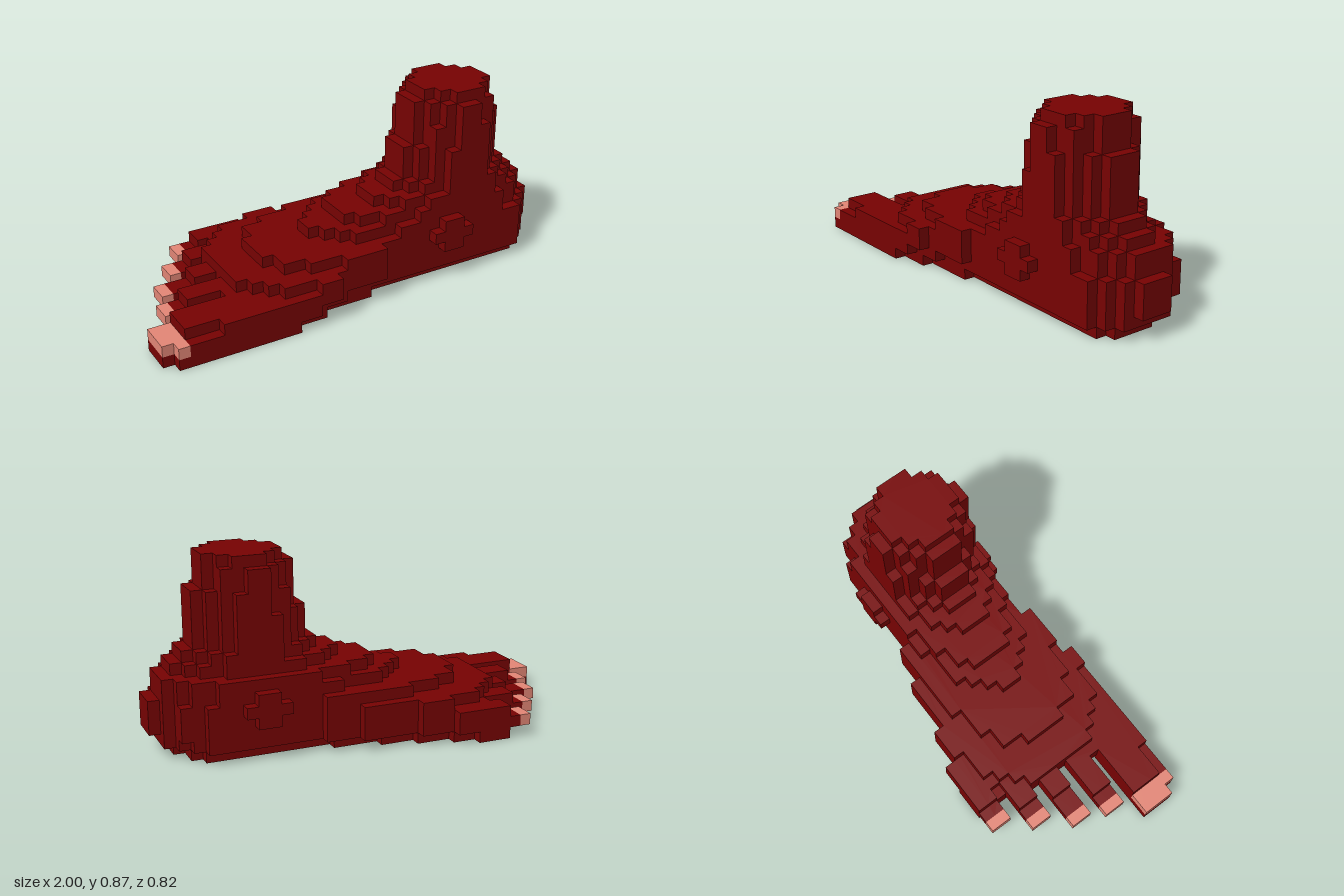
import * as THREE from 'three';

// Blocky foot: stepped slabs, one voxel thick, stacked from sole to ankle.
const V = 2 / 39;            // voxel size
const NZ = 16;               // rows across the foot

// Lower outline, one value per row from back (-z) to front (+z)
const tipStart = [7, 7, 9, 5, 5, 8, 3, 3, 8, 2, 2, 7, 0, 0, 0, 1];
const toeTop = [9, 9, 10, 7, 7, 8, 6, 6, 8, 4, 4, 7, 2, 2, 2, 5];
const soleEnd = [12, 14, 17, 20, 24, 35, 36, 36, 37, 37, 37, 37, 36, 20, 15, 12];
const toeEnd = [14, 17, 22, 25, 35, 36, 37, 38, 38, 38, 38, 38, 37, 36, 17, 14];
const heelEnd = [14, 17, 22, 25, 35, 37, 37, 38, 39, 39, 39, 38, 37, 36, 21, 16];

// Rounded layers: [front, back, first row, last row + 1, front centre, back centre, front power, back power]
const upper = [
  [8, 39, 1, 16, 20, 30, 2.6, 2],
  [11, 39, 3, 15, 24, 30, 2.6, 2],
  [16, 38, 4, 14, 28, 31, 2, 2],
  [19, 38, 4, 14, 29, 31, 2, 2],
  [22, 37, 5, 14, 30, 30, 2, 2],
  [24, 36, 5, 14, 30, 30, 1.8, 1.9],
  [25, 35, 5, 14, 30, 30, 1.7, 1.8],
  [25, 35, 5, 14, 30, 30, 1.7, 1.8],
  [25, 35, 5, 14, 30, 30, 1.6, 1.8],
  [26, 35, 5, 14, 30, 30, 1.7, 1.6],
  [26, 35, 5, 14, 30, 30, 1.6, 1.6],
  [26, 34, 5, 14, 30, 30, 1.5, 1.7],
  [26, 34, 5, 14, 30, 30, 1.5, 1.7],
  [27, 34, 6, 13, 30.6, 30.6, 1.7, 1.9],
];

// Turns row spans [row, start, end] into one stepped slab
function slab(spans, layer) {
  const pts = [];
  const add = (i, r) => {
    const p = new THREE.Vector2(i * V - 1, -(r - NZ / 2) * V);
    if (!pts.length || pts[pts.length - 1].distanceTo(p) > 1e-6) pts.push(p);
  };
  for (const [r, s] of spans) { add(s, r); add(s, r + 1); }
  for (const [r, , e] of [...spans].reverse()) { add(e, r + 1); add(e, r); }
  const geo = new THREE.ExtrudeGeometry(new THREE.Shape(pts), { depth: V, bevelEnabled: false });
  geo.rotateX(-Math.PI / 2);
  geo.translate(0, layer * V, 0);
  return geo;
}

// Row spans of a rounded layer, kept inside the lower outline
function roundedSpans([front, back, r0, r1, cFront, cBack, pFront, pBack]) {
  const mid = (r0 + r1) / 2, half = (r1 - r0) / 2, spans = [];
  for (let r = r0; r < r1; r++) {
    const t = Math.abs(r + 0.5 - mid) / half;
    const bulge = p => Math.pow(1 - Math.pow(t, p), 1 / p);
    const start = Math.round(cFront - (cFront - front) * bulge(pFront));
    const end = Math.min(Math.round(cBack + (back - cBack) * bulge(pBack)), heelEnd[r]);
    spans.push([r, start, end]);
  }
  return spans;
}

export function createModel() {
  const model = new THREE.Group();
  model.name = 'foot';
  const skin = new THREE.MeshStandardMaterial({ color: 0x770202 });
  skin.name = 'dark red skin';
  const nail = new THREE.MeshStandardMaterial({ color: 0xe38676 });
  nail.name = 'pale pink nail';

  const put = (name, geo, mat) => {
    const mesh = new THREE.Mesh(geo, mat);
    mesh.name = name;
    model.add(mesh);
  };
  const rows = [...Array(NZ).keys()];

  // Sole, inset below the small toes, arch and heel
  put('sole', slab(rows.map(r => [r, r < 12 ? 9 : tipStart[r], soleEnd[r]]), 0), skin);

  // Toes and their knuckles
  const gaps = [2, 5, 8, 11];
  put('toes', slab(rows.map(r => [
    r,
    gaps.includes(r) ? tipStart[r] : r < 12 ? tipStart[r] + 1 : 2,
    toeEnd[r],
  ]), 1), skin);
  put('toeTops', slab(rows.map(r => [r, toeTop[r], heelEnd[r]]), 2), skin);

  // Instep, heel and ankle
  upper.forEach((u, k) => {
    const layer = k + 3;
    const name = layer < 5 ? 'midfoot' : layer < 9 ? 'instep' : 'ankle';
    put(name + 'Layer' + layer, slab(roundedSpans(u), layer), skin);
  });

  // Ankle bones: a small cross on each side
  for (const [name, row, x] of [['innerAnkleBone', 14, 26], ['outerAnkleBone', 3, 28]]) {
    put(name, slab([[row, x, x + 4]], 4), skin);
    for (const layer of [3, 5]) put(name, slab([[row, x + 1, x + 3]], layer), skin);
  }

  // Nails
  for (const r of [0, 3, 6, 9]) {
    const s = tipStart[r];
    put('smallToenail', slab([[r, s, s + 1], [r + 1, s, s + 1]], 1), nail);
  }
  put('bigToenail', slab([12, 13, 14, 15].map(r => [r, tipStart[r], 2]), 1), nail);

  return model;
}
